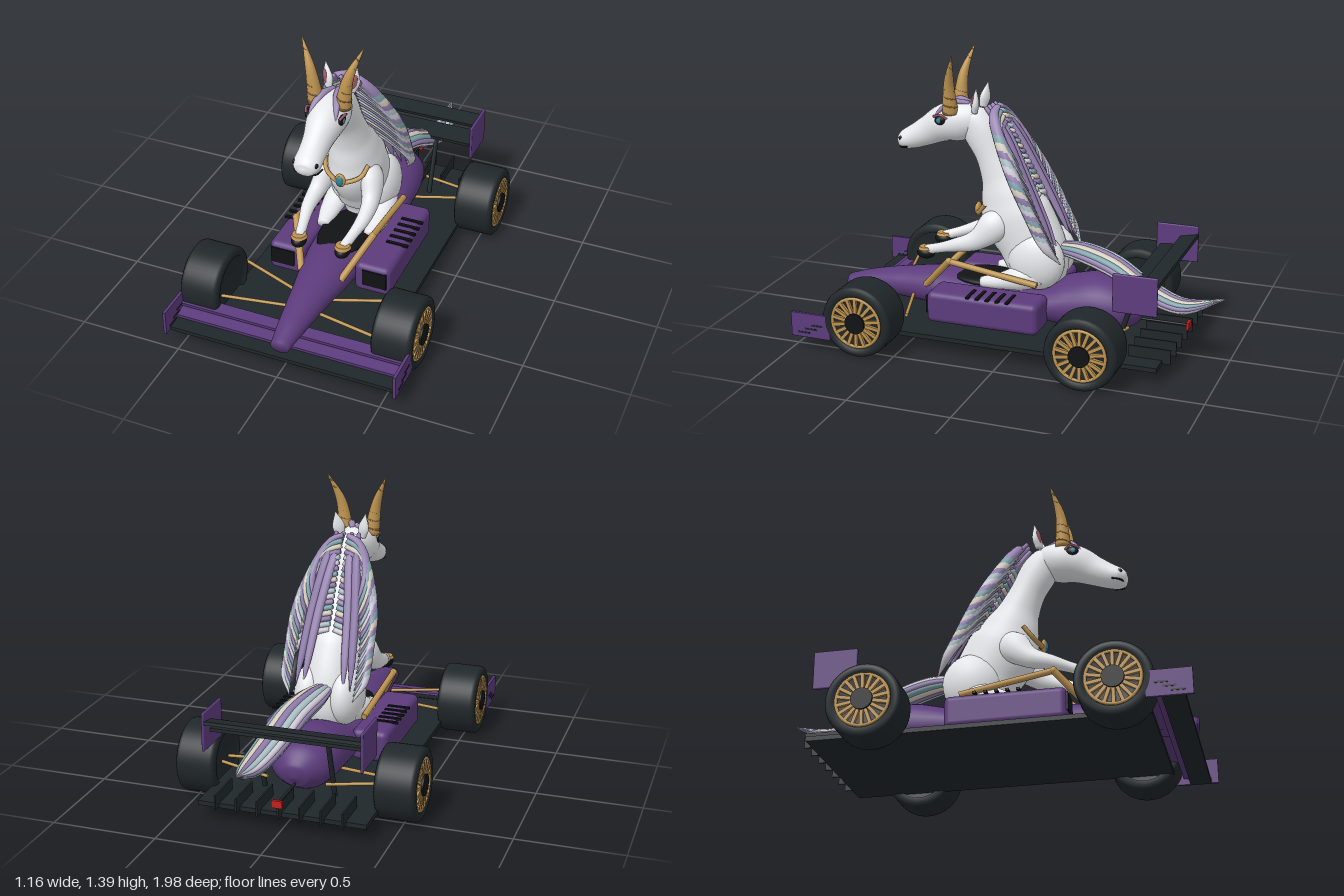
import * as THREE from 'three';
import { RoundedBoxGeometry } from 'three/addons/geometries/RoundedBoxGeometry.js';

const mat = (color) => new THREE.MeshStandardMaterial({ color });
const purple = mat(0x5c3b7c), dark = mat(0x20272a), gold = mat(0xbd9350), white = mat(0xe6e7ea);
const black = mat(0x101214), red = mat(0xc02020), teal = mat(0x2f7f95), pink = mat(0x9a5566);
const hair = [0x9a86b4, 0x7fa3ab, 0xd3cbbd, 0x8c79a8, 0xa9bfc4, 0xcfcbd8].map(mat);
const V = (x, y, z) => new THREE.Vector3(x, y, z);
const sides = [-1, 1];

// Smooth closed skin through elliptical sections [x, y, z, radiusAcross, radiusUp]
function loft(rows, { ref = V(1, 0, 0), steps = 6, seg = 24 } = {}) {
  const path = new THREE.CatmullRomCurve3(rows.map((r) => V(r[0], r[1], r[2])));
  const size = new THREE.CatmullRomCurve3(rows.map((r) => V(r[3], r[4], 0)), false, 'catmullrom', 0.4);
  const n = (rows.length - 1) * steps, pos = [], idx = [];
  for (let i = 0; i <= n; i++) {
    const c = path.getPoint(i / n), s = size.getPoint(i / n), t = path.getTangent(i / n);
    const side = ref.clone().addScaledVector(t, -ref.dot(t)).normalize();
    const up = t.clone().cross(side);
    for (let j = 0; j < seg; j++) {
      const a = (j / seg) * Math.PI * 2;
      const p = c.clone().addScaledVector(side, Math.cos(a) * s.x).addScaledVector(up, Math.sin(a) * s.y);
      pos.push(p.x, p.y, p.z);
      if (i < n) {
        const k = (j + 1) % seg, A = i * seg + j, B = i * seg + k;
        idx.push(A, B, B + seg, A, B + seg, A + seg);
      }
    }
  }
  const first = pos.length / 3;
  for (const r of [rows[0], rows[rows.length - 1]]) pos.push(r[0], r[1], r[2]);
  for (let j = 0; j < seg; j++) {
    const k = (j + 1) % seg;
    idx.push(first, k, j, first + 1, n * seg + j, n * seg + k);
  }
  const g = new THREE.BufferGeometry();
  g.setAttribute('position', new THREE.Float32BufferAttribute(pos, 3));
  g.setIndex(idx);
  g.computeVertexNormals();
  return g;
}

function add(parent, name, geometry, material, x = 0, y = 0, z = 0) {
  const m = new THREE.Mesh(geometry, material);
  m.name = name;
  m.position.set(x, y, z);
  parent.add(m);
  return m;
}
const box = (p, name, m, w, h, d, x, y, z) => add(p, name, new THREE.BoxGeometry(w, h, d), m, x, y, z);
const ball = (p, name, m, rx, ry, rz, x, y, z) =>
  add(p, name, new THREE.SphereGeometry(1, 24, 16).scale(rx, ry, rz), m, x, y, z);
function rod(p, name, m, a, b, r) {
  const d = b.clone().sub(a), mid = a.clone().add(b).multiplyScalar(0.5);
  const o = add(p, name, new THREE.CylinderGeometry(r, r, d.length(), 12), m, mid.x, mid.y, mid.z);
  o.quaternion.setFromUnitVectors(V(0, 1, 0), d.normalize());
  return o;
}
const tube = (p, name, m, pts, r) =>
  add(p, name, new THREE.TubeGeometry(new THREE.CatmullRomCurve3(pts), 32, r, 8), m);

// Wheel lying along x, with its spoked face on the s side
function wheel(parent, name, s, z) {
  const w = new THREE.Group();
  w.name = name;
  w.position.set(s * 0.477, 0.173, z);
  const tyre = [[0, -0.08], [0.126, -0.08], [0.132, -0.096], [0.155, -0.096], [0.169, -0.088], [0.173, -0.075],
    [0.173, 0.075], [0.169, 0.088], [0.155, 0.096], [0.132, 0.096], [0.126, 0.08], [0, 0.08]];
  add(w, 'tyre', new THREE.LatheGeometry(tyre.map((p) => new THREE.Vector2(...p)), 48), dark).rotation.z = Math.PI / 2;
  add(w, 'rimRing', new THREE.TorusGeometry(0.12, 0.008, 8, 48), gold, s * 0.088).rotation.y = Math.PI / 2;
  add(w, 'hub', new THREE.CylinderGeometry(0.05, 0.05, 0.025, 24), black, s * 0.092).rotation.z = Math.PI / 2;
  for (let i = 0; i < 18; i++) {
    const a = (i / 18) * Math.PI * 2;
    box(w, 'spoke', gold, 0.014, 0.075, 0.016, s * 0.088, Math.cos(a) * 0.082, Math.sin(a) * 0.082).rotation.x = a;
  }
  parent.add(w);
}

function buildCar() {
  const car = new THREE.Group();
  car.name = 'racingCar';
  box(car, 'floor', dark, 0.8, 0.022, 1.55, 0, 0.078, 0.025);
  // Nose, tub and engine cover
  add(car, 'body', loft([[0, 0.145, 0.96, 0.045, 0.035], [0, 0.165, 0.83, 0.065, 0.055], [0, 0.18, 0.66, 0.09, 0.075],
    [0, 0.19, 0.45, 0.125, 0.095], [0, 0.19, 0.2, 0.16, 0.095], [0, 0.19, -0.08, 0.17, 0.09],
    [0, 0.205, -0.24, 0.168, 0.125], [0, 0.215, -0.37, 0.165, 0.14], [0, 0.205, -0.5, 0.14, 0.115],
    [0, 0.19, -0.57, 0.07, 0.06], [0, 0.185, -0.585, 0.01, 0.01]], { seg: 32 }), purple);
  ball(car, 'cockpitOpening', black, 0.125, 0.03, 0.2, 0, 0.265, 0.2);
  // Front wing
  box(car, 'frontWingMain', dark, 1.13, 0.018, 0.1, 0, 0.075, 0.91);
  box(car, 'frontWingFlapLower', purple, 1.13, 0.016, 0.06, 0, 0.1, 0.86).rotation.x = 0.15;
  box(car, 'frontWingFlapUpper', purple, 1.13, 0.016, 0.06, 0, 0.13, 0.81).rotation.x = 0.15;
  // Rear wing
  box(car, 'rearWingMain', dark, 0.74, 0.016, 0.12, 0, 0.4, -0.61).rotation.x = 0.1;
  box(car, 'rearWingFlap', dark, 0.74, 0.016, 0.09, 0, 0.455, -0.695).rotation.x = 0.2;
  for (let i = -3; i <= 3; i++) box(car, 'diffuserFin', dark, 0.008, 0.07, 0.2, i * 0.1, 0.108, -0.69);
  box(car, 'rainLight', red, 0.05, 0.035, 0.014, 0, 0.15, -0.795);
  rod(car, 'rainLightStem', dark, V(0, 0.15, -0.56), V(0, 0.15, -0.79), 0.006);
  for (const s of sides) {
    wheel(car, 'frontWheel', s, 0.66);
    wheel(car, 'rearWheel', s, -0.44);
    box(car, 'frontEndplate', purple, 0.014, 0.12, 0.2, s * 0.565, 0.127, 0.895);
    for (const k of [0, 1, 2]) box(car, 'endplateSlot', dark, 0.018, 0.008, 0.06, s * 0.565, 0.09 + k * 0.02, 0.93 - k * 0.035);
    add(car, 'rearEndplate', new RoundedBoxGeometry(0.014, 0.185, 0.21, 2, 0.006), purple, s * 0.372, 0.418, -0.635);
    rod(car, 'rearWingStrut', dark, V(s * 0.17, 0.09, -0.5), V(s * 0.17, 0.4, -0.6), 0.012);
    // Sidepod with intake and louvres
    add(car, 'sidepod', new RoundedBoxGeometry(0.18, 0.155, 0.56, 4, 0.03), purple, s * 0.22, 0.19, 0.135);
    box(car, 'sidepodIntake', black, 0.12, 0.085, 0.02, s * 0.235, 0.2, 0.41);
    for (let i = 0; i < 5; i++) box(car, 'louvre', black, 0.11, 0.01, 0.016, s * 0.265, 0.268, i * 0.05);
    // Suspension arms: wheel end to body end
    for (const [z0, z1] of [[0.48, 0.58], [0.76, 0.69], [-0.48, -0.54], [-0.41, -0.34]])
      rod(car, 'suspensionArm', gold, V(s * 0.39, 0.17, z0), V(s * (z1 > 0 ? 0.08 : 0.14), 0.155, z1), 0.008);
    // Cockpit guard bars
    const knee = V(s * 0.195, 0.392, 0.34);
    rod(car, 'guardFront', gold, V(s * 0.1, 0.22, 0.5), knee, 0.017);
    rod(car, 'guardSide', gold, knee, V(s * 0.18, 0.32, -0.1), 0.015);
    ball(car, 'guardJoint', gold, 0.018, 0.018, 0.018, knee.x, knee.y, knee.z);
  }
  return car;
}

// One spiral horn
function horn(parent, s) {
  const curve = new THREE.CatmullRomCurve3([V(s * 0.065, 1.09, 0.375), V(s * 0.09, 1.24, 0.37), V(s * 0.148, 1.385, 0.33)]);
  const p = [0, 0.5, 1].map((t) => curve.getPoint(t)), r = [0.038, 0.024, 0.002];
  add(parent, 'horn', loft(p.map((q, i) => [q.x, q.y, q.z, r[i], r[i]]), { steps: 12, seg: 16 }), gold);
  const helix = [];
  for (let i = 0; i <= 84; i++) {
    const t = (i / 84) * 0.92, q = curve.getPoint(t), a = (i / 12) * Math.PI * 2, k = 0.038 * (1 - t) + 0.003 * t;
    helix.push(V(q.x + Math.cos(a) * k, q.y, q.z + Math.sin(a) * k));
  }
  add(parent, 'hornSpiral', new THREE.TubeGeometry(new THREE.CatmullRomCurve3(helix), 168, 0.0035, 5), gold);
}

function buildUnicorn() {
  const u = new THREE.Group();
  u.name = 'seatedUnicorn';
  add(u, 'torsoAndNeck', loft([[0, 0.26, -0.04, 0.09, 0.11], [0, 0.36, -0.045, 0.135, 0.15], [0, 0.47, -0.01, 0.135, 0.165],
    [0, 0.6, 0.065, 0.135, 0.175], [0, 0.7, 0.105, 0.115, 0.14], [0, 0.8, 0.145, 0.09, 0.1], [0, 0.9, 0.19, 0.078, 0.085],
    [0, 1.0, 0.245, 0.075, 0.09], [0, 1.07, 0.29, 0.065, 0.07], [0, 1.11, 0.31, 0.02, 0.02]], { seg: 32 }), white);
  add(u, 'head', loft([[0, 1.06, 0.23, 0.02, 0.02], [0, 1.055, 0.27, 0.068, 0.075], [0, 1.04, 0.35, 0.09, 0.098],
    [0, 1.02, 0.43, 0.085, 0.09], [0, 0.975, 0.515, 0.066, 0.072], [0, 0.942, 0.58, 0.063, 0.06],
    [0, 0.922, 0.63, 0.064, 0.05], [0, 0.913, 0.66, 0.045, 0.034], [0, 0.911, 0.672, 0.01, 0.01]]), white);
  tube(u, 'mouth', black, [V(-0.064, 0.898, 0.6), V(-0.05, 0.892, 0.642), V(0, 0.892, 0.657), V(0.05, 0.892, 0.642), V(0.064, 0.898, 0.6)], 0.004);
  // Collar and pendant
  tube(u, 'collar', gold, [V(-0.11, 0.67, 0.185), V(-0.085, 0.62, 0.225), V(0, 0.595, 0.26), V(0.085, 0.62, 0.225), V(0.11, 0.67, 0.185)], 0.011);
  ball(u, 'pendantRim', gold, 0.027, 0.037, 0.014, 0, 0.605, 0.262);
  ball(u, 'pendantGem', teal, 0.019, 0.028, 0.014, 0, 0.605, 0.268);
  for (const s of sides) {
    horn(u, s);
    const ear = add(u, 'ear', loft([[0, 0, 0, 0.02, 0.014], [0, 0.05, 0, 0.03, 0.018], [0, 0.12, 0, 0.003, 0.003]]), white, s * 0.055, 1.1, 0.255);
    ball(ear, 'innerEar', pink, 0.014, 0.035, 0.008, 0, 0.055, 0.014);
    ear.rotation.set(-0.05, s * 0.5, -s * 0.2);
    ball(u, 'eye', black, 0.014, 0.024, 0.03, s * 0.08, 1.052, 0.42);
    ball(u, 'iris', teal, 0.006, 0.013, 0.013, s * 0.09, 1.052, 0.425);
    tube(u, 'eyelid', pink, [V(s * 0.085, 1.062, 0.385), V(s * 0.093, 1.08, 0.415), V(s * 0.08, 1.068, 0.455)], 0.006);
    ball(u, 'nostril', black, 0.008, 0.012, 0.014, s * 0.053, 0.936, 0.638);
    // Foreleg reaching to the controls
    add(u, 'foreleg', loft([[s * 0.08, 0.64, 0.1, 0.03, 0.04], [s * 0.11, 0.57, 0.14, 0.055, 0.075], [s * 0.135, 0.495, 0.22, 0.042, 0.05],
      [s * 0.14, 0.46, 0.32, 0.033, 0.034], [s * 0.125, 0.43, 0.41, 0.025, 0.025], [s * 0.11, 0.405, 0.49, 0.024, 0.024]]), white);
    ball(u, 'foreHoof', black, 0.036, 0.03, 0.046, s * 0.11, 0.39, 0.495);
    add(u, 'hoofCuff', new THREE.CylinderGeometry(0.034, 0.04, 0.014, 24), gold, s * 0.11, 0.416, 0.492);
    // Folded hind leg
    ball(u, 'thigh', white, 0.085, 0.145, 0.14, s * 0.085, 0.41, -0.065);
    add(u, 'hindLeg', loft([[s * 0.1, 0.34, -0.1, 0.05, 0.05], [s * 0.12, 0.325, 0, 0.06, 0.06],
      [s * 0.125, 0.3, 0.1, 0.05, 0.04], [s * 0.12, 0.28, 0.2, 0.03, 0.025]]), white);
  }
  return u;
}

function buildMane() {
  const mane = new THREE.Group();
  mane.name = 'maneAndTail';
  const back = (y) => -0.13 + (y - 0.56) * 0.5;
  const width = (y) => 0.2 - 1.15 * Math.max(0, y - 0.76) ** 1.9;
  for (const s of sides) {
    // Locks fall from the crest, out over the shoulder and back in
    for (let i = 0; i < 18; i++) {
      const y = 1.13 - i * 0.024, w = width(y - 0.14);
      const row = (x, dy, dz, r) => [s * x, y - dy, back(y - dy) + dz, r * 1.3, r];
      add(mane, 'maneLock', loft([row(0.012, 0, 0, 0.012), row(w * 0.5, 0.03, 0.015, 0.018), row(w * 0.9, 0.11, 0.015, 0.021),
        row(w, 0.2, 0, 0.018), row(w * 0.78, 0.29, -0.015, 0.003)], { ref: V(0, 0, 1), seg: 10 }), hair[i % 6]);
    }
    // Long locks beside the crest
    for (let k = 0; k < 2; k++) {
      const x = 0.02 + k * 0.035;
      add(mane, 'crestLock', loft([[s * x, 1.13, 0.2, 0.01, 0.01], [s * (x + 0.02), 1.02, 0.1, 0.022, 0.018],
        [s * (x + 0.05), 0.82, -0.01, 0.022, 0.018], [s * (x + 0.07), 0.6, -0.12, 0.018, 0.014],
        [s * (x + 0.08), 0.47, -0.18, 0.002, 0.002]], { seg: 10 }), hair[k * 3]);
    }
    // Forelock
    add(mane, 'forelock', loft([[s * 0.01, 1.13, 0.3, 0.012, 0.012], [s * 0.035, 1.135, 0.37, 0.018, 0.014],
      [s * 0.055, 1.1, 0.425, 0.014, 0.012], [s * 0.066, 1.045, 0.47, 0.002, 0.002]], { seg: 10 }), hair[0]);
  }
  // Tail: a bundle of tapering locks
  const spine = [[0, 0.46, -0.15, 0.55], [0.02, 0.455, -0.28, 0.9], [0.06, 0.42, -0.45, 1], [0.1, 0.34, -0.62, 0.95],
    [0.13, 0.295, -0.8, 0.7], [0.11, 0.345, -0.985, 0.06]];
  for (let i = 0; i < 12; i++) {
    const a = (i / 12) * Math.PI * 2;
    add(mane, 'tailLock', loft(spine.map(([x, y, z, k]) => [x + Math.cos(a) * 0.058 * k, y + Math.sin(a) * 0.035 * k, z, 0.021 * k, 0.018 * k]),
      { seg: 10 }), hair[i % 6]);
  }
  return mane;
}

export function createModel() {
  const model = new THREE.Group();
  model.name = 'unicornRacer';
  model.add(buildCar(), buildUnicorn(), buildMane());
  return model;
}
